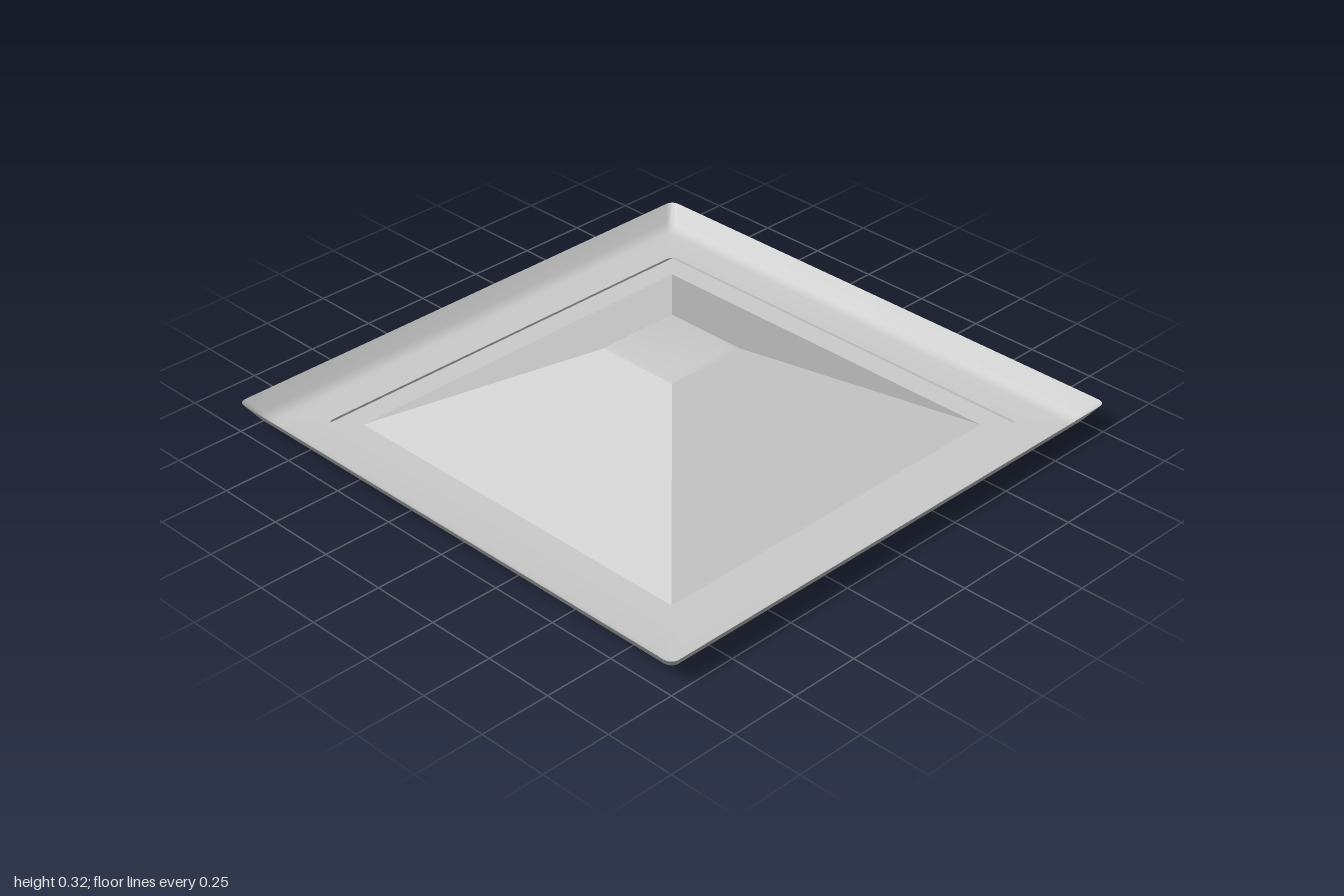
import * as THREE from 'three';
import { toCreasedNormals } from 'three/addons/utils/BufferGeometryUtils.js';

const material = new THREE.MeshStandardMaterial({ color: 0xcccccc, side: THREE.DoubleSide });

// One square loop of half-width h at height y, with corners rounded by radius r.
function squareLoop(h, y, r, steps) {
  const points = [];
  for (let corner = 0; corner < 4; corner++) {
    const mid = Math.PI / 4 + corner * Math.PI / 2;
    const cx = Math.sign(Math.cos(mid)) * (h - r);
    const cz = -Math.sign(Math.sin(mid)) * (h - r);
    for (let s = 0; s <= steps; s++) {
      const a = corner * Math.PI / 2 + (steps ? s / steps : 0.5) * Math.PI / 2;
      points.push([cx + r * Math.cos(a), y, cz - r * Math.sin(a)]);
    }
  }
  return points;
}

// Folded sheet: joins square loops along a [halfWidth, y] profile, from outside in.
function squareSheet(name, profile, radius = 0) {
  const steps = radius ? 5 : 0;
  const loops = profile.map(([h, y]) => squareLoop(h, y, radius, steps));
  const positions = [];
  for (let i = 0; i < loops.length - 1; i++) {
    const n = loops[i].length;
    for (let j = 0; j < n; j++) {
      const k = (j + 1) % n;
      const [a, b, c, d] = [loops[i][j], loops[i][k], loops[i + 1][k], loops[i + 1][j]];
      positions.push(...a, ...b, ...c, ...a, ...c, ...d);
    }
  }
  const geometry = new THREE.BufferGeometry();
  geometry.setAttribute('position', new THREE.Float32BufferAttribute(positions, 3));
  const mesh = new THREE.Mesh(toCreasedNormals(geometry, 0.45), material);
  mesh.name = name;
  return mesh;
}

export function createModel() {
  const group = new THREE.Group();
  group.name = 'ceilingDiffuser';
  const slope = 0.52;

  // Outer tray with an upturned, softly bent rim
  group.add(squareSheet('outerFrame', [
    [1.0, 0.112], [0.965, 0.063], [0.956, 0.052], [0.945, 0.043],
    [0.932, 0.037], [0.915, 0.035], [0.8, 0.035],
  ], 0.03));

  // Recessed lip and the hood rising from it to a flat cap
  group.add(squareSheet('hood', [
    [0.8, 0.035], [0.8, 0.027], [0.715, 0.027], [0.155, 0.317],
  ]));
  group.add(squareSheet('hoodCap', [
    [0.155, 0.317], [0.13, 0.322], [0.001, 0.322],
  ]));

  // Nested louvres: short hem, flat lip, then a blade sloping up inwards
  const louvres = [[0.665, 0.021], [0.537, 0.015], [0.41, 0.011], [0.303, 0.007]];
  louvres.forEach(([h, y], i) => {
    const inner = h - 0.035;
    const reach = Math.min(0.17, inner - 0.1);
    group.add(squareSheet(`louvre${i + 1}`, [
      [h, y + 0.008], [h, y], [inner, y], [inner - reach, y + reach * slope],
    ]));
  });

  // Closed centre louvre, a shallow hollow pyramid
  group.add(squareSheet('centreLouvre', [
    [0.185, 0.008], [0.185, 0], [0.155, 0], [0.001, 0.154 * slope],
  ]));
  return group;
}
